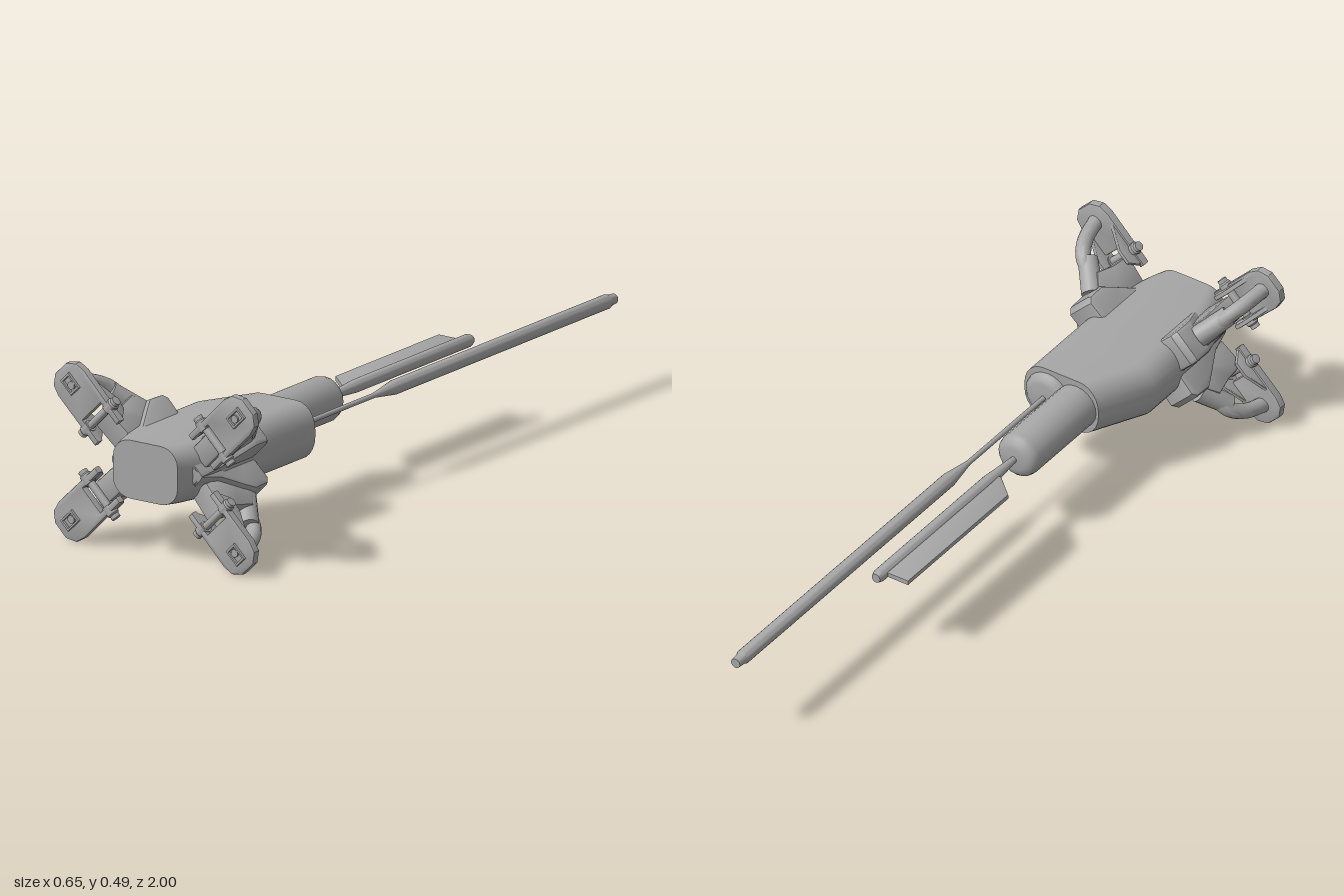
import * as THREE from 'three';
import { toCreasedNormals } from 'three/addons/utils/BufferGeometryUtils.js';

const grey = new THREE.MeshStandardMaterial({ color: 0xa6a6a6 });
grey.name = 'hull grey';

function add(parent, name, geometry, crease = 0.6) {
  const mesh = new THREE.Mesh(toCreasedNormals(geometry, crease), grey);
  mesh.name = name;
  parent.add(mesh);
  return mesh;
}

// Outline of [x, y] points as a shape
const outline = (pts) => new THREE.Shape(pts.map(([x, y]) => new THREE.Vector2(x, y)));

// Bevelled plate, centred on its thickness
function plate(shape, thickness, bevel) {
  const g = new THREE.ExtrudeGeometry(shape, {
    depth: thickness - 2 * bevel, bevelEnabled: bevel > 0, bevelThickness: bevel,
    bevelSize: bevel, bevelOffset: -bevel, bevelSegments: 2, curveSegments: 8,
  });
  return g.translate(0, 0, -thickness / 2 + bevel);
}

// Plate whose profile lies in the (outward, forward) plane
const sidePlate = (pts, thickness, bevel) => plate(outline(pts), thickness, bevel).rotateX(Math.PI / 2);

// Turned part along z, from [radius, z] points given back to front
function turned(pts) {
  return new THREE.LatheGeometry(pts.map(([r, z]) => new THREE.Vector2(r, z)), 20).rotateX(Math.PI / 2);
}

// Rounded cross-sections lofted along z: [z, left, right, cornerX, cornerY, halfHeight]
function loft(sections) {
  const steps = 6, pos = [], idx = [];
  const ring = 4 * (steps + 1);
  for (const [z, left, right, cx, cy, h] of sections) {
    for (let q = 0; q < 4; q++) {
      const x0 = q === 0 || q === 3 ? right - cx : left + cx;
      const y0 = (q < 2 ? 1 : -1) * (h - cy);
      for (let i = 0; i <= steps; i++) {
        const a = (q + i / steps) * Math.PI / 2;
        pos.push(x0 + cx * Math.cos(a), y0 + cy * Math.sin(a), z);
      }
    }
  }
  for (let s = 0; s < sections.length - 1; s++) {
    for (let i = 0; i < ring; i++) {
      const a = s * ring + i, b = s * ring + (i + 1) % ring;
      idx.push(a, b, b + ring, a, b + ring, a + ring);
    }
  }
  const last = (sections.length - 1) * ring;
  for (let i = 1; i < ring - 1; i++) {
    idx.push(0, i + 1, i, last, last + i, last + i + 1);
  }
  const g = new THREE.BufferGeometry();
  g.setAttribute('position', new THREE.Float32BufferAttribute(pos, 3));
  g.setIndex(idx);
  return g;
}

// One folding claw; local x points outward, z forward
function claw() {
  const g = new THREE.Group();

  // Sloping root on the hull
  add(g, 'clawRoot', sidePlate(
    [[0, 0.72], [0.115, 0.715], [0.13, 0.73], [0.132, 0.785], [0.11, 0.82], [0.07, 0.88], [0.05, 0.95], [0, 0.96]],
    0.1, 0.012));

  // Boxy knuckle and round sleeve leading to the elbow
  add(g, 'knuckle', sidePlate([[0.06, 0.80], [0.11, 0.765], [0.165, 0.815], [0.15, 0.875], [0.145, 0.94], [0.06, 0.93]], 0.066, 0.008));
  const sleeve = add(g, 'sleeve', new THREE.CylinderGeometry(0.027, 0.03, 0.1, 16));
  sleeve.position.set(0.165, 0, 0.815);
  sleeve.rotation.set(Math.PI / 2, 0, -0.85, 'YXZ');
  sleeve.quaternion.setFromUnitVectors(new THREE.Vector3(0, 1, 0), new THREE.Vector3(0.8, 0, 0.6).normalize());

  // Curved link down to the pad
  const path = new THREE.CatmullRomCurve3([
    [0.18, 0.82], [0.215, 0.835], [0.245, 0.875], [0.265, 0.945],
  ].map(([u, z]) => new THREE.Vector3(u, 0, z)));
  add(g, 'curvedLink', new THREE.TubeGeometry(path, 12, 0.021, 12));

  // Pad with a forked inner end around the knuckle
  const pad = outline([
    [0.10, -0.058], [0.265, -0.06], [0.295, -0.052], [0.315, -0.025], [0.315, 0.025], [0.295, 0.052],
    [0.265, 0.06], [0.10, 0.058], [0.10, 0.04], [0.172, 0.04], [0.172, -0.04], [0.10, -0.04],
  ]);
  add(g, 'pad', plate(pad, 0.024, 0.005)).position.z = 0.95;
  for (const s of [-1, 1]) {
    add(g, 'padRib', sidePlate([[0.10, 0.945], [0.13, 0.905], [0.17, 0.905], [0.25, 0.945]], 0.012, 0.003))
      .position.y = s * 0.047;
  }

  // Raised socket frame and its inner stud on the pad face
  const frame = outline([[-0.025, -0.018], [0.025, -0.018], [0.025, 0.018], [-0.025, 0.018]]);
  frame.holes.push(outline([[-0.018, -0.012], [-0.018, 0.012], [0.018, 0.012], [0.018, -0.012]]));
  add(g, 'socketFrame', plate(frame, 0.012, 0.002)).position.set(0.265, 0, 0.964);
  add(g, 'socketStud', new THREE.CylinderGeometry(0.011, 0.011, 0.01, 12).rotateX(Math.PI / 2))
    .position.set(0.26, 0, 0.962);

  // Hinge pin with end knobs
  add(g, 'hingePin', new THREE.CylinderGeometry(0.011, 0.011, 0.12, 12)).position.set(0.15, 0, 0.947);
  for (const s of [-1, 1]) {
    const knob = [[0, -0.02], [0.017, -0.02], [0.017, 0.006], [0.013, 0.01], [0.013, 0.02], [0, 0.022]]
      .map(([r, y]) => new THREE.Vector2(r, y));
    const mesh = add(g, 'pinKnob', new THREE.LatheGeometry(knob, 14));
    mesh.position.set(0.15, s * 0.058, 0.947);
    if (s < 0) mesh.rotation.x = Math.PI;
  }
  return g;
}

export function createModel() {
  const model = new THREE.Group();
  model.name = 'clawedProbe';
  const core = new THREE.Group();
  core.name = 'core';
  core.position.y = 0.25;
  model.add(core);

  // Hull with a tapered nose and one slanted rear shoulder
  add(core, 'hull', loft([
    [0.45, -0.08, 0.155, 0.06, 0.07, 0.08],
    [0.60, -0.157, 0.155, 0.06, 0.07, 0.08],
    [0.86, -0.157, 0.155, 0.06, 0.07, 0.08],
    [0.965, -0.118, 0.118, 0.05, 0.055, 0.08],
    [1.00, -0.104, 0.104, 0.055, 0.05, 0.08],
  ]));

  // Rear cylinders
  const dome = (r, z0, z1, b) => turned([
    [0, z0], [r - b, z0], [r - b * 0.5, z0 + b * 0.14], [r - b * 0.14, z0 + b * 0.5], [r, z0 + b], [r, z1], [0, z1],
  ]);
  add(core, 'longBarrel', dome(0.063, 0.16, 0.55, 0.03), 0.8).position.x = -0.01;
  add(core, 'shortBarrel', dome(0.068, 0.428, 0.55, 0.025), 0.8).position.x = 0.08;

  // Long boom
  add(core, 'longBoom', turned([
    [0, -1], [0.014, -1], [0.016, -0.975], [0.02, -0.965], [0.02, -0.01], [0.007, 0.08], [0.007, 0.45], [0, 0.45],
  ])).position.x = 0.08;

  // Short boom with a flat blade
  add(core, 'shortBoom', turned([
    [0, -0.48], [0.013, -0.48], [0.018, -0.465], [0.018, 0.04], [0.008, 0.17], [0, 0.17],
  ])).position.x = -0.01;
  add(core, 'blade', sidePlate(
    [[-0.01, -0.45], [-0.09, -0.45], [-0.09, 0.015], [-0.03, 0.07], [-0.01, 0.07]], 0.014, 0.002)).position.x = -0.002;

  // Four claws, two on each side
  for (const sx of [-1, 1]) {
    for (const sy of [-1, 1]) {
      const arm = claw();
      arm.name = 'claw';
      arm.position.x = sx * 0.08;
      arm.rotation.z = Math.atan2(sy, sx);
      core.add(arm);
    }
  }
  return model;
}
